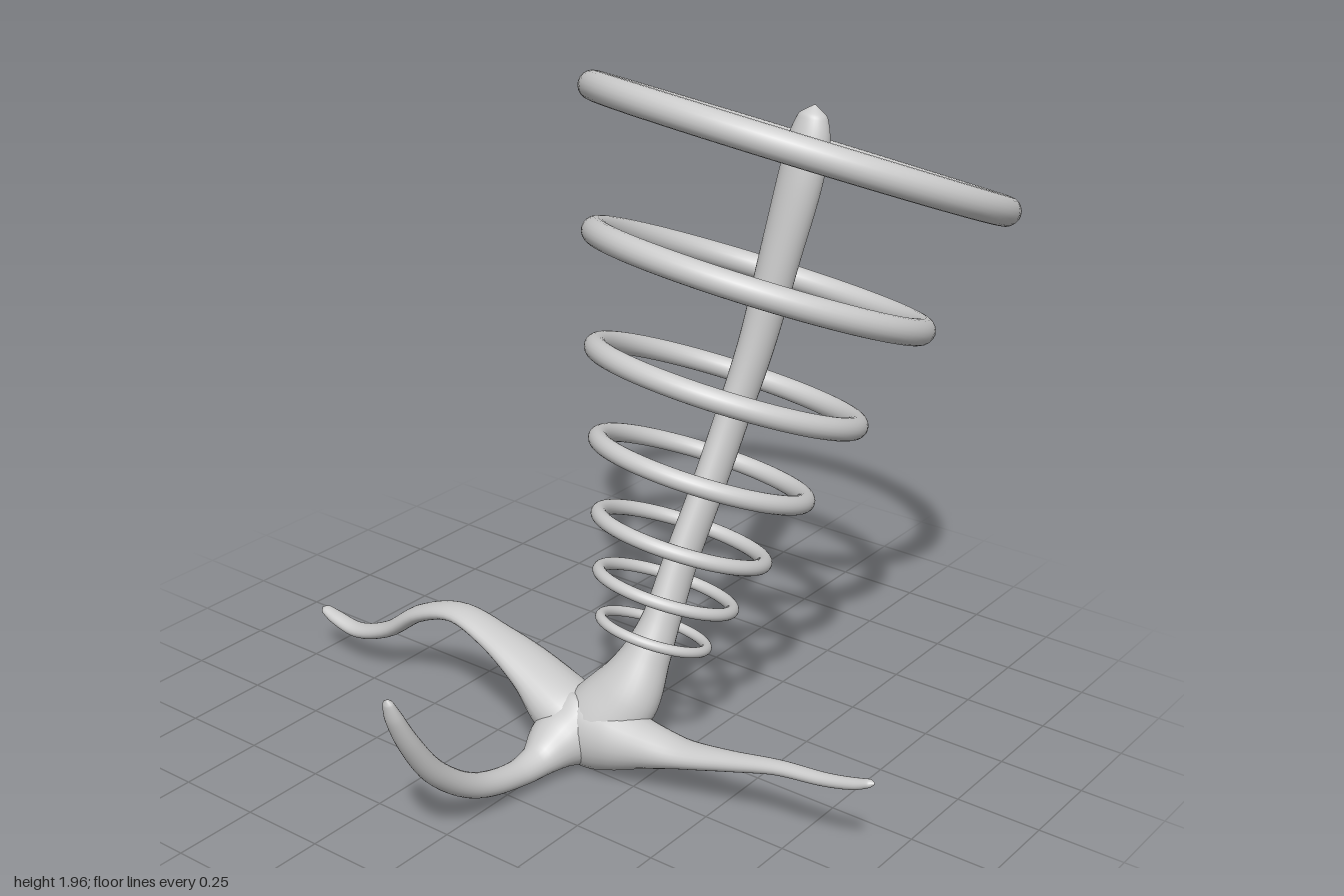
import * as THREE from 'three';

const material = new THREE.MeshStandardMaterial({ color: 0xcccccc, roughness: 0.8 });

// Smooth limb swept along stations [x, y, z, halfWidth, halfHeight];
// halfWidth is measured along the direction "wide".
function limb(name, stations, wide, steps = 90, sides = 24) {
  const path = new THREE.CatmullRomCurve3(stations.map(s => new THREE.Vector3(s[0], s[1], s[2])));
  const size = new THREE.CatmullRomCurve3(stations.map(s => new THREE.Vector3(s[3], s[4], 0)));
  const pos = [], index = [];
  for (let i = 0; i <= steps; i++) {
    // stations packed closer at both ends for rounded tips
    const t = 0.5 - 0.5 * Math.cos(Math.PI * i / steps);
    const c = path.getPoint(t), r = size.getPoint(t), T = path.getTangent(t);
    const W = wide.clone().addScaledVector(T, -wide.dot(T)).normalize();
    const N = new THREE.Vector3().crossVectors(T, W);
    for (let j = 0; j < sides; j++) {
      const a = 2 * Math.PI * j / sides;
      const p = c.clone()
        .addScaledVector(W, Math.cos(a) * Math.max(r.x, 0.001))
        .addScaledVector(N, Math.sin(a) * Math.max(r.y, 0.001));
      pos.push(p.x, p.y, p.z);
      if (i < steps) {
        const k = (j + 1) % sides, A = i * sides, B = A + sides;
        index.push(A + j, A + k, B + j, A + k, B + k, B + j);
      }
    }
  }
  const g = new THREE.BufferGeometry();
  g.setAttribute('position', new THREE.Float32BufferAttribute(pos, 3));
  g.setIndex(index);
  g.computeVertexNormals();
  const mesh = new THREE.Mesh(g, material);
  mesh.name = name;
  return mesh;
}

export function createModel() {
  const group = new THREE.Group();
  group.name = 'ringedStem';
  const X = new THREE.Vector3(1, 0, 0), Z = new THREE.Vector3(0, 0, 1);

  // Wavy root on the right side, widening into the hub
  group.add(limb('rightRoot', [
    [-1, 0.155, 0.21, 0.002, 0.002], [-0.985, 0.152, 0.21, 0.018, 0.013],
    [-0.94, 0.138, 0.21, 0.026, 0.019], [-0.85, 0.125, 0.21, 0.03, 0.022],
    [-0.72, 0.17, 0.21, 0.035, 0.024], [-0.58, 0.27, 0.21, 0.04, 0.025],
    [-0.43, 0.32, 0.21, 0.047, 0.025], [-0.28, 0.29, 0.215, 0.062, 0.031],
    [-0.13, 0.23, 0.22, 0.088, 0.05], [0, 0.155, 0.23, 0.105, 0.088],
    [0.08, 0.13, 0.23, 0.09, 0.08], [0.14, 0.13, 0.23, 0.03, 0.03],
  ], Z));

  // Straighter root on the left side
  group.add(limb('leftRoot', [
    [1, 0.285, 0.21, 0.002, 0.002], [0.985, 0.28, 0.21, 0.013, 0.011],
    [0.94, 0.262, 0.21, 0.018, 0.016], [0.85, 0.24, 0.21, 0.021, 0.018],
    [0.7, 0.22, 0.21, 0.026, 0.02], [0.55, 0.185, 0.215, 0.036, 0.027],
    [0.4, 0.153, 0.22, 0.054, 0.038], [0.28, 0.14, 0.225, 0.072, 0.066],
    [0.18, 0.13, 0.225, 0.09, 0.098], [0.08, 0.125, 0.23, 0.09, 0.118],
    [0, 0.14, 0.23, 0.06, 0.08], [-0.06, 0.16, 0.23, 0.02, 0.02],
  ], Z));

  // Upturned root at the front
  group.add(limb('frontRoot', [
    [0.02, 0.535, 0.978, 0.002, 0.002], [0.02, 0.52, 0.972, 0.016, 0.012],
    [0.02, 0.47, 0.953, 0.027, 0.022], [0.02, 0.37, 0.902, 0.034, 0.029],
    [0.02, 0.24, 0.81, 0.037, 0.034], [0.02, 0.125, 0.66, 0.037, 0.035],
    [0.02, 0.076, 0.5, 0.039, 0.036], [0.02, 0.073, 0.4, 0.05, 0.046],
    [0.025, 0.1, 0.31, 0.088, 0.084], [0.05, 0.125, 0.23, 0.1, 0.115],
    [0.08, 0.15, 0.17, 0.05, 0.05],
  ], X));

  // Leaning stem, flared at the hub and swollen at the top
  group.add(limb('stem', [
    [0.05, 0.05, 0.25, 0.04, 0.04], [0.1, 0.14, 0.215, 0.12, 0.1],
    [0.165, 0.245, 0.17, 0.105, 0.088], [0.195, 0.35, 0.12, 0.07, 0.07],
    [0.21, 0.45, 0.07, 0.052, 0.06], [0.22, 0.6, 0, 0.045, 0.058],
    [0.245, 0.8, -0.09, 0.044, 0.056], [0.27, 1.0, -0.17, 0.045, 0.056],
    [0.305, 1.2, -0.225, 0.049, 0.056], [0.345, 1.45, -0.268, 0.057, 0.056],
    [0.378, 1.65, -0.3, 0.064, 0.055], [0.392, 1.77, -0.32, 0.06, 0.05],
    [0.396, 1.835, -0.33, 0.041, 0.034], [0.397, 1.863, -0.335, 0.002, 0.002],
  ], X, 110, 32));

  // Tilted rings growing upward: [x, y, z, ring radius, tube radius]
  const rings = new THREE.Group();
  rings.name = 'rings';
  const tilt = new THREE.Quaternion().setFromUnitVectors(Z, new THREE.Vector3(0.1, 1, -0.375).normalize());
  [
    [0.19, 0.406, 0.081, 0.155, 0.015],
    [0.2, 0.526, 0.039, 0.195, 0.018],
    [0.213, 0.67, -0.015, 0.241, 0.022],
    [0.231, 0.861, -0.081, 0.3, 0.027],
    [0.249, 1.087, -0.165, 0.375, 0.032],
    [0.275, 1.37, -0.27, 0.466, 0.037],
    [0.308, 1.717, -0.4, 0.581, 0.041],
  ].forEach(([x, y, z, R, r], i) => {
    const ring = new THREE.Mesh(new THREE.TorusGeometry(R, r, 20, 96), material);
    ring.name = 'ring' + (i + 1);
    ring.position.set(x, y, z);
    ring.quaternion.copy(tilt);
    rings.add(ring);
  });
  group.add(rings);

  return group;
}
